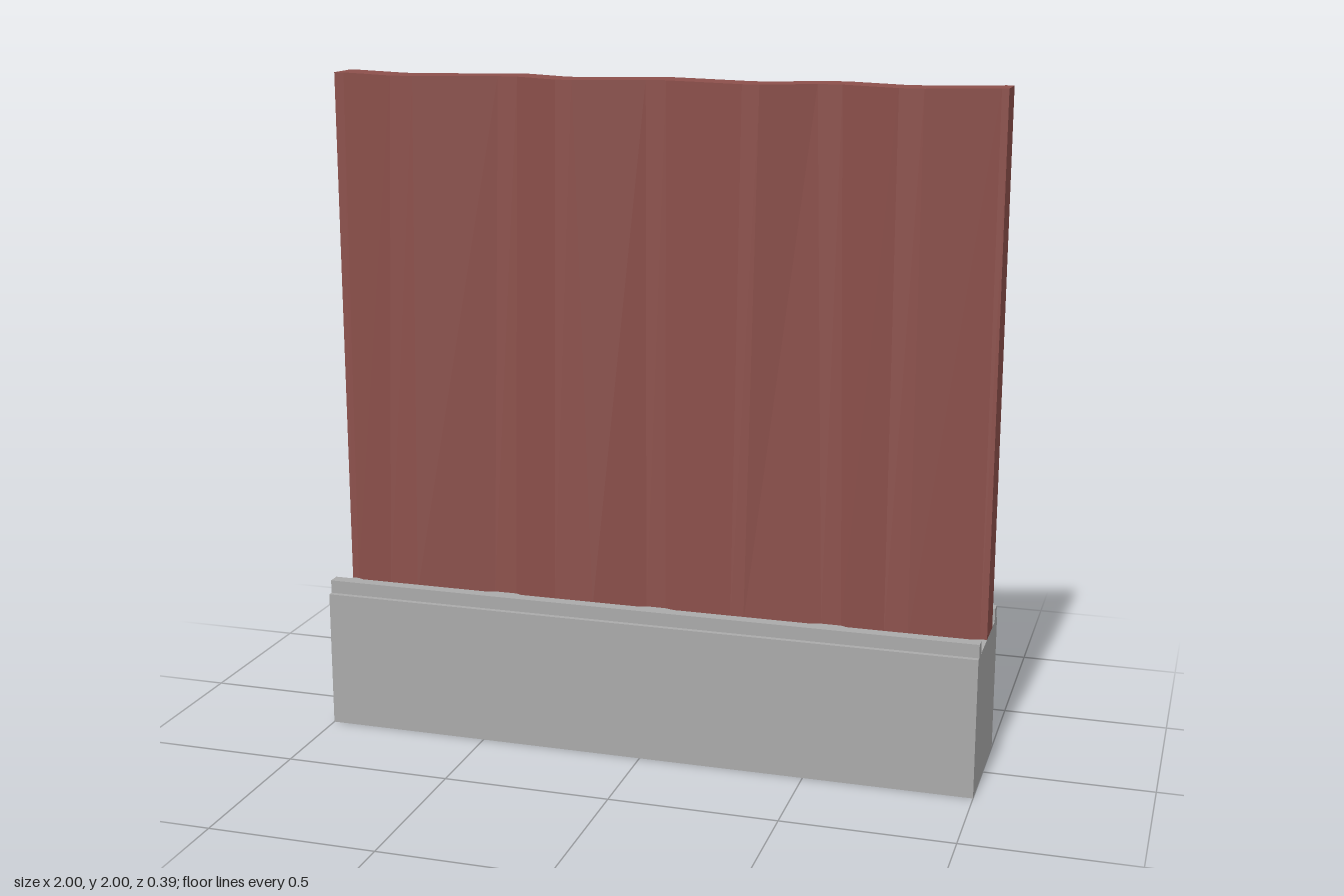
import * as THREE from 'three';

const concrete = new THREE.MeshStandardMaterial({ color: 0xaaaaaa });
concrete.name = 'concrete grey';
const panelRed = new THREE.MeshStandardMaterial({ color: 0x8c504b });
panelRed.name = 'rust red';

function box(name, w, h, d, y, z) {
  const mesh = new THREE.Mesh(new THREE.BoxGeometry(w, h, d), concrete);
  mesh.name = name;
  mesh.position.set(0, y + h / 2, z);
  return mesh;
}

// Fold positions along x; valleys and ridges alternate in pairs.
const topFolds = [-1, -0.97, -0.79, -0.72, -0.48, -0.42, -0.28, -0.23, -0.03,
  0.03, 0.27, 0.32, 0.47, 0.54, 0.71, 0.78, 0.98, 1];
const bottomFolds = [-1, -0.98, -0.84, -0.75, -0.52, -0.45, -0.3, -0.18, -0.03,
  0.03, 0.25, 0.29, 0.51, 0.57, 0.71, 0.78, 0.98, 1];

// Corrugated sheet lofted from the bottom fold line to the top one.
function corrugatedGeometry(y0, y1) {
  const backValley = -0.088, wave = 0.068, thickness = 0.11;
  const positions = [], index = [];
  topFolds.forEach((xt, i) => {
    const back = backValley + (Math.floor(i / 2) % 2 ? wave : 0);
    const front = back + thickness;
    const xb = bottomFolds[i];
    // ring: front bottom, front top, back top, back bottom
    positions.push(xb, y0, front, xt, y1, front, xt, y1, back, xb, y0, back);
  });
  const quad = (a, b, c, d) => index.push(a, b, c, a, c, d);
  const n = topFolds.length;
  for (let i = 0; i < n - 1; i++) {
    for (let k = 0; k < 4; k++) {
      const a = i * 4 + k, b = i * 4 + (k + 1) % 4;
      quad(a, a + 4, b + 4, b);
    }
  }
  // end caps
  quad(0, 1, 2, 3);
  const e = (n - 1) * 4;
  quad(e, e + 3, e + 2, e + 1);

  const g = new THREE.BufferGeometry();
  g.setAttribute('position', new THREE.Float32BufferAttribute(positions, 3));
  g.setIndex(index);
  const flat = g.toNonIndexed();
  flat.computeVertexNormals();
  return flat;
}

export function createModel() {
  const model = new THREE.Group();
  model.name = 'corrugatedBarrier';

  // Plinth with a raised rail along each long edge
  model.add(box('base', 2, 0.42, 0.39, 0, 0));
  for (const [name, side] of [['frontRail', 1], ['backRail', -1]]) {
    model.add(box(name, 2, 0.04, 0.038, 0.42, side * 0.16));
  }

  // Standing corrugated panel
  const panel = new THREE.Mesh(corrugatedGeometry(0.42, 2), panelRed);
  panel.name = 'corrugatedPanel';
  model.add(panel);
  return model;
}
